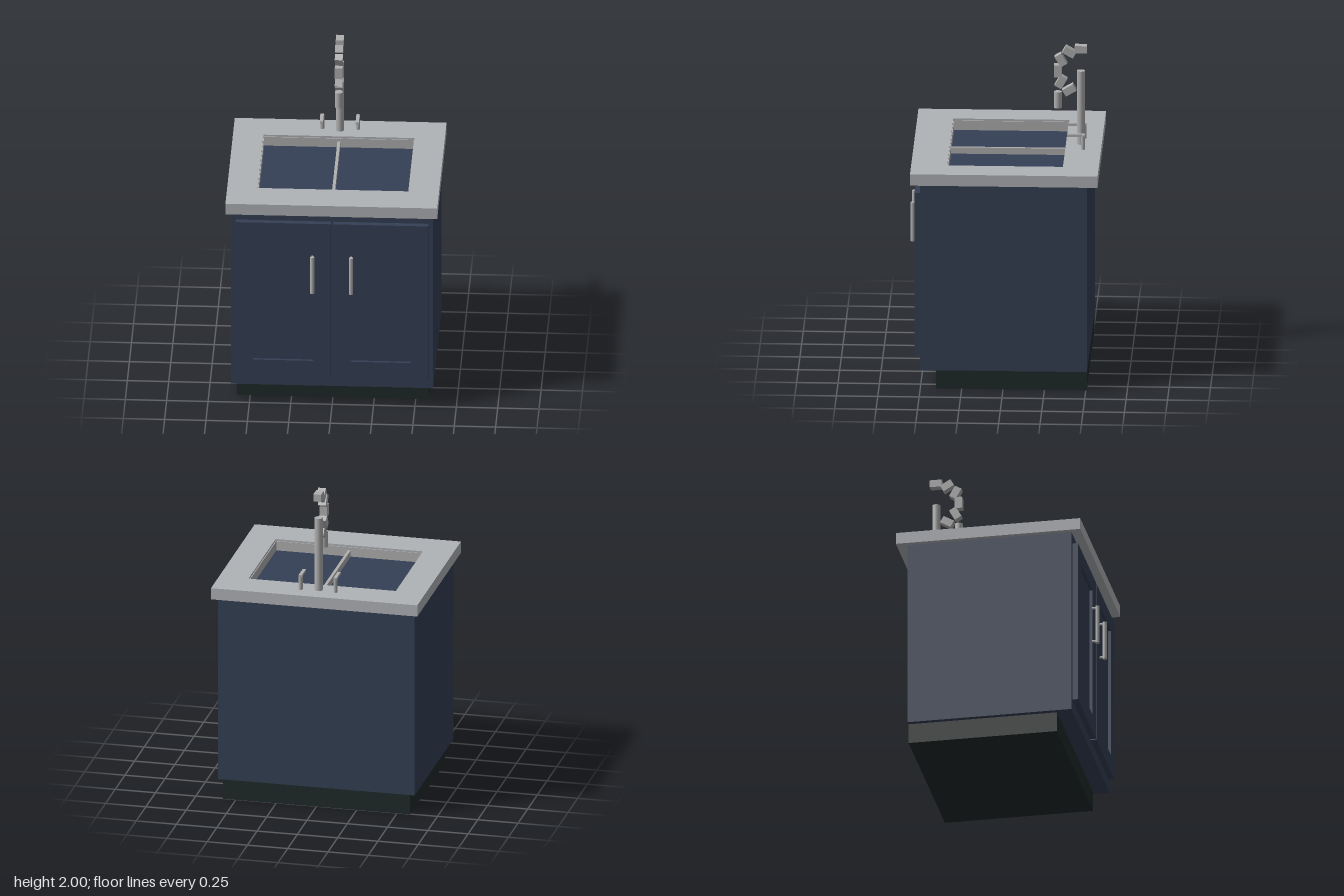
import * as THREE from 'three';

const navy = new THREE.MeshStandardMaterial({ name: 'navy paint', color: 0x344055 });
const kickBlack = new THREE.MeshStandardMaterial({ name: 'dark kick board', color: 0x1f2a29 });
const stone = new THREE.MeshStandardMaterial({ name: 'grey worktop', color: 0xb0b3b7 });
const steel = new THREE.MeshStandardMaterial({ name: 'brushed steel', color: 0xb0b0b0 });

function add(parent, name, geometry, material, x = 0, y = 0, z = 0) {
  const mesh = new THREE.Mesh(geometry, material);
  mesh.name = name;
  mesh.position.set(x, y, z);
  parent.add(mesh);
  return mesh;
}

// Box given by its lower and upper limits on each axis
function box(parent, name, material, [x0, x1], [y0, y1], [z0, z1]) {
  return add(parent, name, new THREE.BoxGeometry(x1 - x0, y1 - y0, z1 - z0), material,
    (x0 + x1) / 2, (y0 + y1) / 2, (z0 + z1) / 2);
}

// Rectangular plate with a rectangular hole, extruded along +z
function frame([x0, x1], [y0, y1], [hx0, hx1], [hy0, hy1], depth) {
  const corners = (a, b, c, d) => [[a, c], [b, c], [b, d], [a, d]].map(p => new THREE.Vector2(...p));
  const shape = new THREE.Shape(corners(x0, x1, y0, y1));
  shape.holes.push(new THREE.Path(corners(hx0, hx1, hy0, hy1)));
  return new THREE.ExtrudeGeometry(shape, { depth, bevelEnabled: false });
}

function createDoor(side) {
  const door = new THREE.Group();
  door.name = side < 0 ? 'rightDoor' : 'leftDoor';
  const span = (a, b) => (side < 0 ? [-b, -a] : [a, b]);
  const gap = 0.007;
  add(door, 'doorFrame', frame(span(gap, 0.582), [0.2, 1.24], span(0.113, 0.477), [0.31, 1.14], 0.035),
    navy, 0, 0, 0.5);
  box(door, 'doorPanel', navy, span(0.113, 0.477), [0.31, 1.14], [0.5, 0.517]);
  // Bar pull on two posts
  const x = side * 0.117;
  add(door, 'handleBar', new THREE.CylinderGeometry(0.013, 0.013, 0.245, 12), steel, x, 0.907, 0.565);
  for (const y of [0.797, 1.017]) {
    add(door, 'handlePost', new THREE.CylinderGeometry(0.008, 0.008, 0.03, 8), steel, x, y, 0.548)
      .rotation.x = Math.PI / 2;
  }
  return door;
}

function createFaucet() {
  const faucet = new THREE.Group();
  faucet.name = 'faucet';
  const pipeZ = -0.447, bendY = 1.84, bendRadius = 0.139;
  add(faucet, 'faucetPost', new THREE.CylinderGeometry(0.025, 0.025, 0.465, 16), steel, 0, 1.6075, pipeZ);
  // Spout made of separate blocks spaced round a half circle
  for (let i = 0; i < 6; i++) {
    const a = Math.PI / 2 - i * Math.PI / 6;
    add(faucet, 'spoutSegment', new THREE.BoxGeometry(0.048, 0.074, 0.046), steel,
      0, bendY + bendRadius * Math.sin(a), pipeZ + bendRadius * Math.cos(a)).rotation.x = a;
  }
  add(faucet, 'nozzle', new THREE.CylinderGeometry(0.024, 0.024, 0.102, 16), steel, 0, 1.655, -0.308);
  // Tap on each side with a forward lever
  for (const x of [-0.108, 0.108]) {
    add(faucet, 'tapStem', new THREE.CylinderGeometry(0.013, 0.013, 0.09, 10), steel, x, 1.42, -0.464);
    box(faucet, 'tapLever', steel, [x - 0.01, x + 0.01], [1.456, 1.471], [-0.475, -0.367]);
  }
  return faucet;
}

export function createModel() {
  const model = new THREE.Group();
  model.name = 'sinkCabinet';

  // Cabinet and its recessed base
  box(model, 'kickBoard', kickBlack, [-0.58, 0.58], [0, 0.125], [-0.506, 0.405]);
  box(model, 'cabinetBody', navy, [-0.61, 0.61], [0.125, 1.305], [-0.508, 0.5]);
  model.add(createDoor(-1), createDoor(1));

  // Worktop with the basin opening
  const worktop = add(model, 'worktop',
    frame([-0.642, 0.638], [-0.56, 0.573], [-0.458, 0.456], [-0.342, 0.36], 0.072), stone, 0, 1.304, 0);
  worktop.rotation.x = -Math.PI / 2;

  // Thin steel lining of the opening and the divider between the basins
  const lining = add(model, 'basinLining',
    frame([-0.459, 0.457], [-0.343, 0.361], [-0.453, 0.451], [-0.337, 0.355], 0.06), steel, 0, 1.304, 0);
  lining.rotation.x = -Math.PI / 2;
  box(model, 'basinDivider', steel, [-0.011, 0.007], [1.304, 1.345], [-0.357, 0.339]);

  model.add(createFaucet());
  return model;
}
